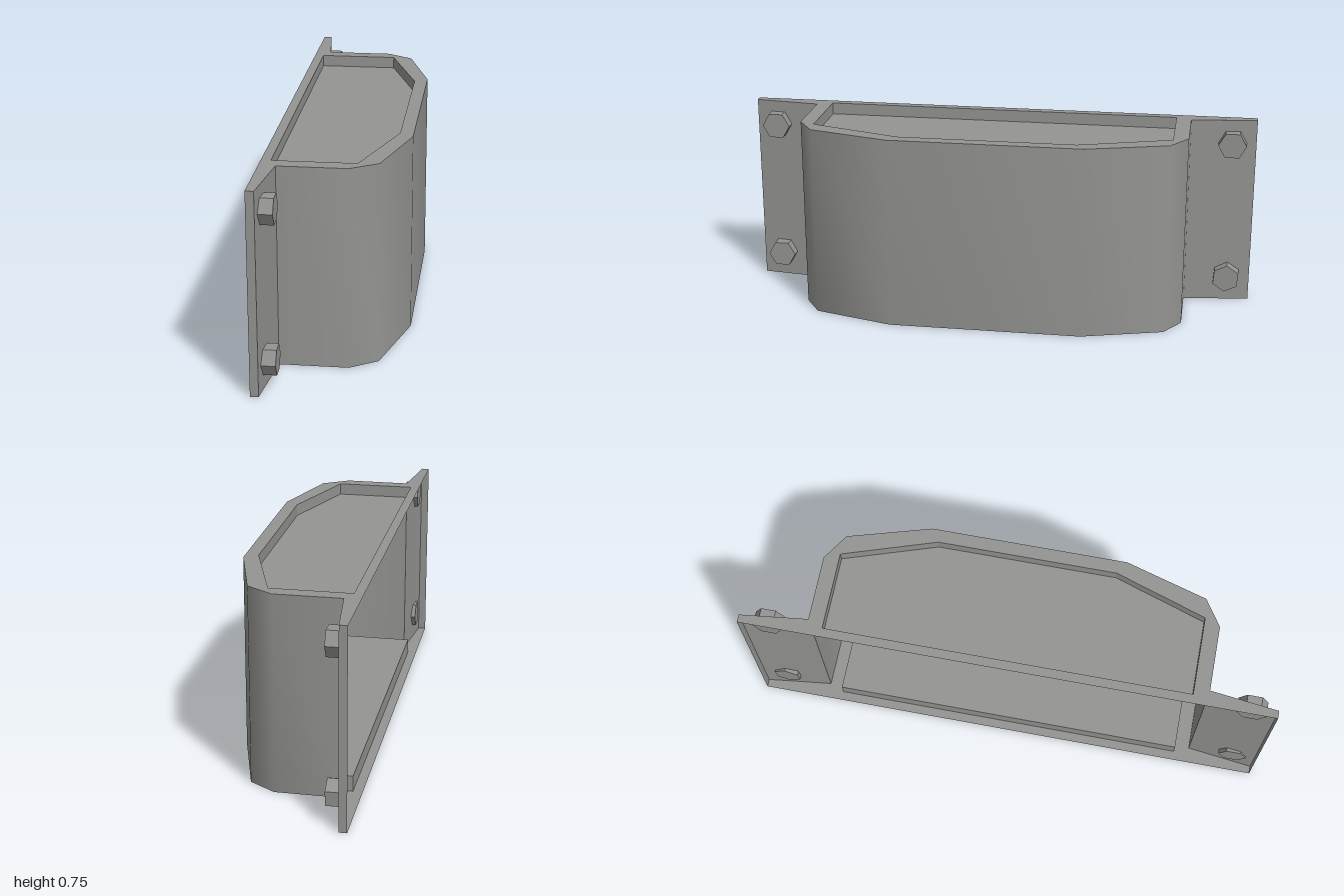
import * as THREE from 'three';
import { toCreasedNormals } from 'three/addons/utils/BufferGeometryUtils.js';

const HEIGHT = 0.747;

// Half profiles as [x, z], mirrored across z = 0
const mirrorZ = (half) => [...half, ...half.slice().reverse().map(([x, z]) => [x, -z])];
const OUTER = mirrorZ([[-0.25, 1], [-0.22, 1], [-0.19, 0.745], [0.06, 0.745], [0.16, 0.68], [0.25, 0.37]]);
const INNER = mirrorZ([[-0.215, 0.687], [0.085, 0.687], [0.2, 0.338]]);

const toVectors = (pts) => pts.map(([x, z]) => new THREE.Vector2(x, -z));

// Upright strip following a profile
function wall(points, y0, y1, closed) {
  const pos = [], idx = [];
  const ring = closed ? [...points, points[0]] : points;
  ring.forEach(([x, z], i) => {
    pos.push(x, y0, z, x, y1, z);
    if (i > 0) {
      const a = 2 * i - 2;
      idx.push(a, a + 2, a + 1, a + 1, a + 2, a + 3);
    }
  });
  const g = new THREE.BufferGeometry();
  g.setAttribute('position', new THREE.Float32BufferAttribute(pos, 3));
  g.setIndex(idx);
  g.computeVertexNormals();
  return toCreasedNormals(g, closed ? 0.1 : 1);
}

export function createModel() {
  const model = new THREE.Group();
  model.name = 'bracketCover';
  const steel = new THREE.MeshStandardMaterial({ color: 0x949492, side: THREE.DoubleSide });
  steel.name = 'grey steel';

  const add = (parent, name, geometry) => {
    const mesh = new THREE.Mesh(geometry, steel);
    mesh.name = name;
    parent.add(mesh);
    return mesh;
  };

  // Curved shell with side flanges, open at the back
  add(model, 'shell', wall(OUTER, 0, HEIGHT, false));

  // Top and bottom: flat rim around a recessed panel
  const rimShape = new THREE.Shape(toVectors(OUTER));
  rimShape.holes.push(new THREE.Path(toVectors(INNER)));
  const panelShape = new THREE.Shape(toVectors(INNER));
  for (const top of [false, true]) {
    const end = new THREE.Group();
    end.name = top ? 'topEnd' : 'bottomEnd';
    add(end, 'rim', new THREE.ShapeGeometry(rimShape).rotateX(-Math.PI / 2));
    add(end, 'recessWall', wall(INNER, 0, 0.045, true));
    const panel = new THREE.ExtrudeGeometry(panelShape, { depth: 0.015, bevelEnabled: false });
    add(end, 'recessPanel', panel.rotateX(-Math.PI / 2).translate(0, 0.045, 0));
    // Turn the top end over; the profile is symmetric in z
    if (top) {
      end.rotation.x = Math.PI;
      end.position.y = HEIGHT;
    }
    model.add(end);
  }

  // Hexagonal bolts through the flanges
  const hex = new THREE.CylinderGeometry(0.055, 0.055, 0.056, 6).rotateZ(Math.PI / 2).toNonIndexed();
  hex.computeVertexNormals();
  for (const z of [0.913, -0.908]) {
    for (const y of [0.103, 0.655]) {
      const bolt = add(model, 'bolt', hex);
      bolt.position.set(-0.193, y, z);
      if (z < 0 && y < 0.3) bolt.rotation.x = 0.45;
    }
  }
  return model;
}
